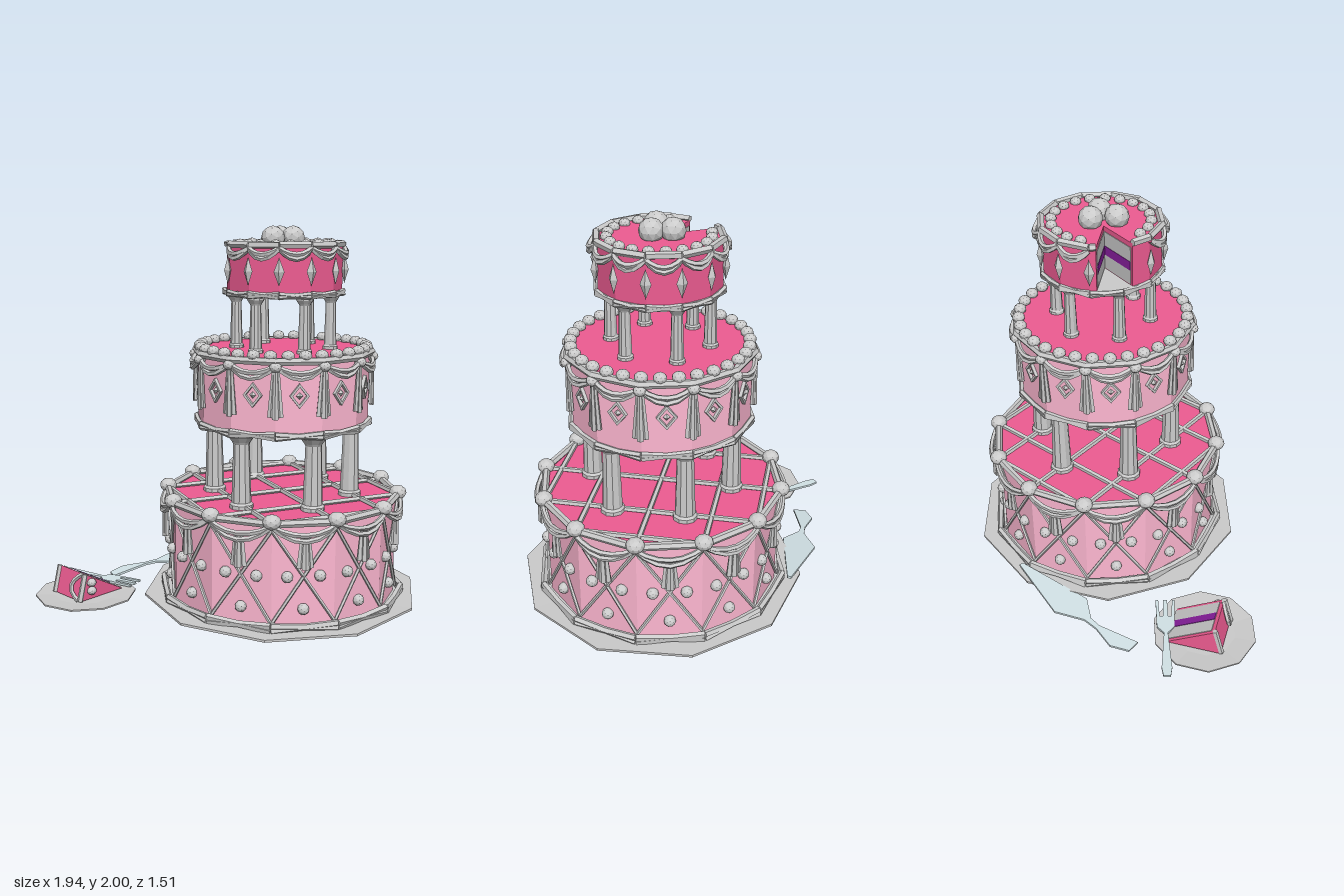
import * as THREE from 'three';

const mat = (color, side = THREE.FrontSide) => new THREE.MeshStandardMaterial({ color, flatShading: true, side });
const grey = mat(0xcccccc), pale = mat(0xffb8d2), pink = mat(0xee5c92), purple = mat(0x8a1fa0), steel = mat(0xd2e2e6);
const STEP = Math.PI / 6, rad = THREE.MathUtils.degToRad;
const V = (x, y, z) => new THREE.Vector3(x, y, z);
// point at an angle around the cake axis
const polar = (r, a, y) => V(r * Math.cos(a), y, -r * Math.sin(a));

function add(parent, name, geo, material = grey, x = 0, y = 0, z = 0) {
  const m = new THREE.Mesh(geo, material);
  m.name = name;
  m.position.set(x, y, z);
  parent.add(m);
  return m;
}
function rod(parent, name, a, b, r) {
  const d = b.clone().sub(a);
  const m = add(parent, name, new THREE.CylinderGeometry(r, r, d.length(), 5));
  m.position.copy(a).lerp(b, 0.5);
  m.quaternion.setFromUnitVectors(V(0, 1, 0), d.normalize());
}
function bead(parent, name, p, r, flat = 0.85) {
  const m = add(parent, name, new THREE.IcosahedronGeometry(r, 1), grey, p.x, p.y, p.z);
  m.scale.y = flat;
  return m;
}
// group on a tier's side with its +z pointing outwards
function spot(parent, name, r, a, y) {
  const g = new THREE.Group();
  g.name = name;
  g.position.copy(polar(r, a, y));
  g.rotation.y = Math.PI / 2 + a;
  parent.add(g);
  return g;
}
function swag(parent, r, a, y, dip) {
  for (const k of [1, 0.55]) {
    const c = new THREE.QuadraticBezierCurve3(polar(r, a, y), polar(r + 0.05, a + STEP / 2, y - 2 * dip * k), polar(r, a + STEP, y));
    add(parent, 'swag', new THREE.TubeGeometry(c, 6, 0.013, 5));
  }
}
function tassel(parent, r, a, y, h, w) {
  const g = spot(parent, 'tassel', r, a, y);
  for (const s of [-1, 0, 1]) {
    const m = add(g, 'tasselFold', new THREE.CylinderGeometry(w * 0.3, w * 0.55, h * (s ? 0.92 : 1), 5), grey, s * w * 0.55, -h / 2, s ? 0 : w * 0.25);
    m.rotation.z = s * 0.06;
    m.scale.z = 0.7;
  }
}
// two crossing strands along each side
function ropeTrim(parent, r, y, t) {
  for (let i = 0; i < 12; i++) for (const s of [-1, 1])
    rod(parent, 'ropeTrim', polar(r, i * STEP, y + s * t * 0.7), polar(r, (i + 1) * STEP, y - s * t * 0.7), t);
}
function ring(parent, name, r, y, t) {
  add(parent, name, new THREE.TorusGeometry(r, t, 6, 12).rotateX(Math.PI / 2), grey, 0, y, 0);
}
function pillars(parent, r, y0, y1, w) {
  const h = y1 - y0;
  const prof = [[0, 0], [1.2, 0], [1.2, 0.05], [1, 0.08], [0.82, 0.85], [0.95, 0.88], [1.35, 0.95], [1.35, 1], [0, 1]]
    .map(([a, b]) => new THREE.Vector2(a * w, b * h));
  for (let i = 0; i < 6; i++) {
    const p = polar(r, rad(30 + 60 * i), y0);
    add(parent, 'pillar', new THREE.LatheGeometry(prof, 10), grey, p.x, p.y, p.z);
  }
}
function plate(parent, name, s, pts) {
  const m = add(parent, name, new THREE.LatheGeometry(pts.map(([r, y]) => new THREE.Vector2(r * s, y)), 10, rad(4.5)), mat(0xcccccc, THREE.DoubleSide));
  return m;
}

function bottomTier(cake) {
  const R = 0.605, top = 0.63;
  add(cake, 'bottomTier', new THREE.CylinderGeometry(0.595, 0.595, 0.52, 12), [pale, pink, pink], 0, 0.36, 0);
  ropeTrim(cake, 0.635, 0.12, 0.017);
  ring(cake, 'bottomTierRim', R, top, 0.02);
  for (let i = 0; i < 12; i++) {
    const a = i * STEP, b = a + STEP, mid = a + STEP / 2;
    bead(cake, 'cornerRosette', polar(R, a, top + 0.01), 0.045);
    rod(cake, 'sideLattice', polar(R, a, 0.13), polar(R, b, 0.6), 0.009);
    rod(cake, 'sideLattice', polar(R, a, 0.6), polar(R, b, 0.13), 0.009);
    swag(cake, 0.615, a, 0.62, 0.07);
    tassel(cake, 0.61, mid, 0.58, 0.17, 0.035);
    const f = spot(cake, 'sideBeads', R * Math.cos(STEP / 2), mid, 0);
    for (const [x, y] of [[-0.08, 0.365], [0.08, 0.365], [0, 0.2]]) bead(f, 'sideBead', V(x, y, 0), 0.029, 1);
  }
  // top lattice joins opposite corners
  for (const k of [1, 2, 3, 4, 5]) {
    const o = R * Math.cos(k * STEP), l = R * Math.sin(k * STEP);
    rod(cake, 'topLattice', V(o, top, -l), V(o, top, l), 0.014);
    rod(cake, 'topLattice', V(-l, top, o), V(l, top, o), 0.014);
  }
}

function middleTier(cake) {
  add(cake, 'middleTier', new THREE.CylinderGeometry(0.44, 0.44, 0.38, 12), [pale, pink, pink], 0, 1.195, 0);
  ropeTrim(cake, 0.45, 1.015, 0.014);
  ring(cake, 'middleTierRim', 0.45, 1.375, 0.02);
  for (let i = 0; i < 32; i++) bead(cake, 'rimBead', polar(0.425, (i / 32) * Math.PI * 2, 1.4), 0.032);
  const diamond = new THREE.Shape([[0.048, 0], [0, 0.06], [-0.048, 0], [0, -0.06]].map(p => new THREE.Vector2(...p)));
  diamond.holes.push(new THREE.Path([[0.034, 0], [0, -0.043], [-0.034, 0], [0, 0.043]].map(p => new THREE.Vector2(...p))));
  for (let i = 0; i < 12; i++) {
    const a = i * STEP;
    swag(cake, 0.45, a, 1.355, 0.06);
    bead(cake, 'tasselKnot', polar(0.455, a, 1.35), 0.03);
    tassel(cake, 0.45, a, 1.35, 0.25, 0.03);
    const f = spot(cake, 'diamondOrnament', 0.425, a + STEP / 2, 1.21);
    add(f, 'diamondFrame', new THREE.ExtrudeGeometry(diamond, { depth: 0.016, bevelEnabled: false }));
    add(f, 'diamondStud', new THREE.OctahedronGeometry(0.017), grey, 0, 0, 0.005);
  }
}

function topTier(cake) {
  const R = 0.295, y0 = 1.685, y1 = 1.905, from = 126, to = 161;
  add(cake, 'topTierBoard', new THREE.CylinderGeometry(0.3, 0.3, 0.03, 12), grey, 0, 1.67, 0);
  ropeTrim(cake, 0.302, 1.672, 0.012);
  // cake body with a slice taken out
  const onSide = d => polar(R * Math.cos(STEP / 2) / Math.cos(rad((((d % 30) + 30) % 30) - 15)), rad(d), 0);
  const edge = [from, 120, 90, 60, 30, 0, -30, -60, -90, -120, -150, -180, to - 360].map(onSide);
  const apex = polar(0.06, rad(143), 0);
  const shape = new THREE.Shape([apex, ...edge].map(p => new THREE.Vector2(p.x, -p.z)));
  add(cake, 'topTier', new THREE.ExtrudeGeometry(shape, { depth: y1 - y0, bevelEnabled: false }).rotateX(-Math.PI / 2), pink, 0, y0, 0);
  const lift = V(0, y1 + 0.005, 0);
  for (let i = 0; i < edge.length - 1; i++)
    rod(cake, 'topTierRim', edge[i].clone().add(lift), edge[i + 1].clone().add(lift), 0.018);
  // layers showing on the cut faces
  for (const q of [edge[0], edge[edge.length - 1]]) {
    const d = q.clone().sub(apex), c = apex.clone().lerp(q, 0.48);
    for (const [name, h, t, m] of [['spongeFace', 0.19, 0.006, grey], ['fillingStripe', 0.045, 0.01, purple]])
      add(cake, name, new THREE.BoxGeometry(d.length() * 0.92, h, t), m, c.x, 1.785, c.z).rotation.y = Math.atan2(-d.z, d.x);
  }
  for (let i = 0; i < 12; i++) {
    if (i === 5) continue;
    const a = i * STEP;
    if (i !== 4) swag(cake, 0.3, a, 1.895, 0.05);
    const drop = add(spot(cake, 'drop', 0.305, a, 1.785), 'dropBead', new THREE.OctahedronGeometry(1, 0));
    drop.scale.set(0.026, 0.068, 0.02);
  }
  for (let i = 0; i < 20; i++) {
    const d = i * 18;
    if (d < from - 6 || d > to + 6) bead(cake, 'topBead', polar(0.24, rad(d), y1 + 0.008), 0.028);
  }
  for (const [x, z] of [[-0.075, 0.03], [0.035, 0.03], [0.008, -0.065]])
    add(cake, 'cherry', new THREE.IcosahedronGeometry(0.06, 1), grey, x, 1.94, z);
}

function slice(parent) {
  const g = new THREE.Group();
  g.name = 'cakeSlice';
  g.position.set(-0.87, 0.075, -0.43);
  g.rotation.y = 0.4;
  parent.add(g);
  const L = 0.28, A = rad(30), bx = L - L * Math.cos(A), by = L * Math.sin(A);
  const tri = new THREE.Shape([[0, 0], [L, 0], [bx, by]].map(p => new THREE.Vector2(...p)));
  add(g, 'sliceBody', new THREE.ExtrudeGeometry(tri, { depth: 0.23, bevelEnabled: false }), pink);
  // layers on the upward cut face
  for (const [name, w, t, m] of [['sliceSponge', 0.195, 0.006, grey], ['sliceFilling', 0.045, 0.011, purple]])
    add(g, name, new THREE.BoxGeometry(L * 0.93, t, w), m, (bx + L) / 2 + 0.01, by / 2 - 0.005, 0.115).rotation.z = -A;
  for (const [z, r] of [[0.01, 0.014], [0.225, 0.016]]) rod(g, 'sliceTrim', V(0, 0, z), V(bx, by, z), r);
  const c = new THREE.QuadraticBezierCurve3(V(0, 0, 0.21), V(-0.02, by / 2, 0.1), V(bx, by, 0.21));
  add(g, 'sliceSwag', new THREE.TubeGeometry(c, 6, 0.012, 5));
  for (const y of [0.045, 0.09]) bead(g, 'sliceBead', V(0.07, y, 0.235), 0.026);
}

// flat cutlery cut from an outline lying in plan
function cutlery(parent, name, pts) {
  const s = new THREE.Shape(pts.map(p => new THREE.Vector2(...p)));
  const m = add(parent, name, new THREE.ExtrudeGeometry(s, { depth: 0.012, bevelEnabled: false }).rotateX(-Math.PI / 2), steel);
  return m;
}

export function createModel() {
  const root = new THREE.Group();
  root.name = 'weddingCake';
  const cake = new THREE.Group();
  cake.name = 'tieredCake';
  cake.position.set(0.255, 0, 0.03);
  root.add(cake);

  plate(cake, 'cakePlate', 0.728, [[0, 0.015], [0.54, 0.015], [0.56, 0], [0.58, 0.025], [1, 0.09], [1, 0.102], [0.8, 0.1], [0, 0.1]]);
  bottomTier(cake);
  pillars(cake, 0.355, 0.62, 1.005, 0.05);
  middleTier(cake);
  pillars(cake, 0.24, 1.385, 1.66, 0.032);
  topTier(cake);

  plate(root, 'smallPlate', 0.265, [[0, 0.045], [0.56, 0.042], [1, 0.066], [1, 0.074], [0.6, 0.066], [0, 0.066]]).position.set(-0.715, 0, -0.355);
  slice(root);

  const server = cutlery(root, 'cakeServer', [[-0.49, 0.61], [-0.28, 0.665], [-0.22, 0.66], [-0.12, 0.58], [0.29, 0.635],
    [0.295, 0.655], [-0.055, 0.757], [-0.2, 0.69], [-0.28, 0.69], [-0.4, 0.722], [-0.49, 0.68]]);
  server.rotation.z = 0.12;
  server.position.y = 0.092;

  const fork = cutlery(root, 'fork', [[0, -0.018], [0.05, -0.026], [0.27, -0.01], [0.31, -0.045], [0.49, -0.05], [0.49, -0.036], [0.38, -0.03],
    [0.38, -0.014], [0.49, -0.01], [0.49, 0.01], [0.38, 0.014], [0.38, 0.03], [0.49, 0.036], [0.49, 0.05], [0.31, 0.045], [0.27, 0.01], [0.05, 0.026], [0, 0.018]]);
  fork.rotation.y = rad(-51);
  fork.position.set(-0.755, 0.082, -0.715);
  return root;
}
